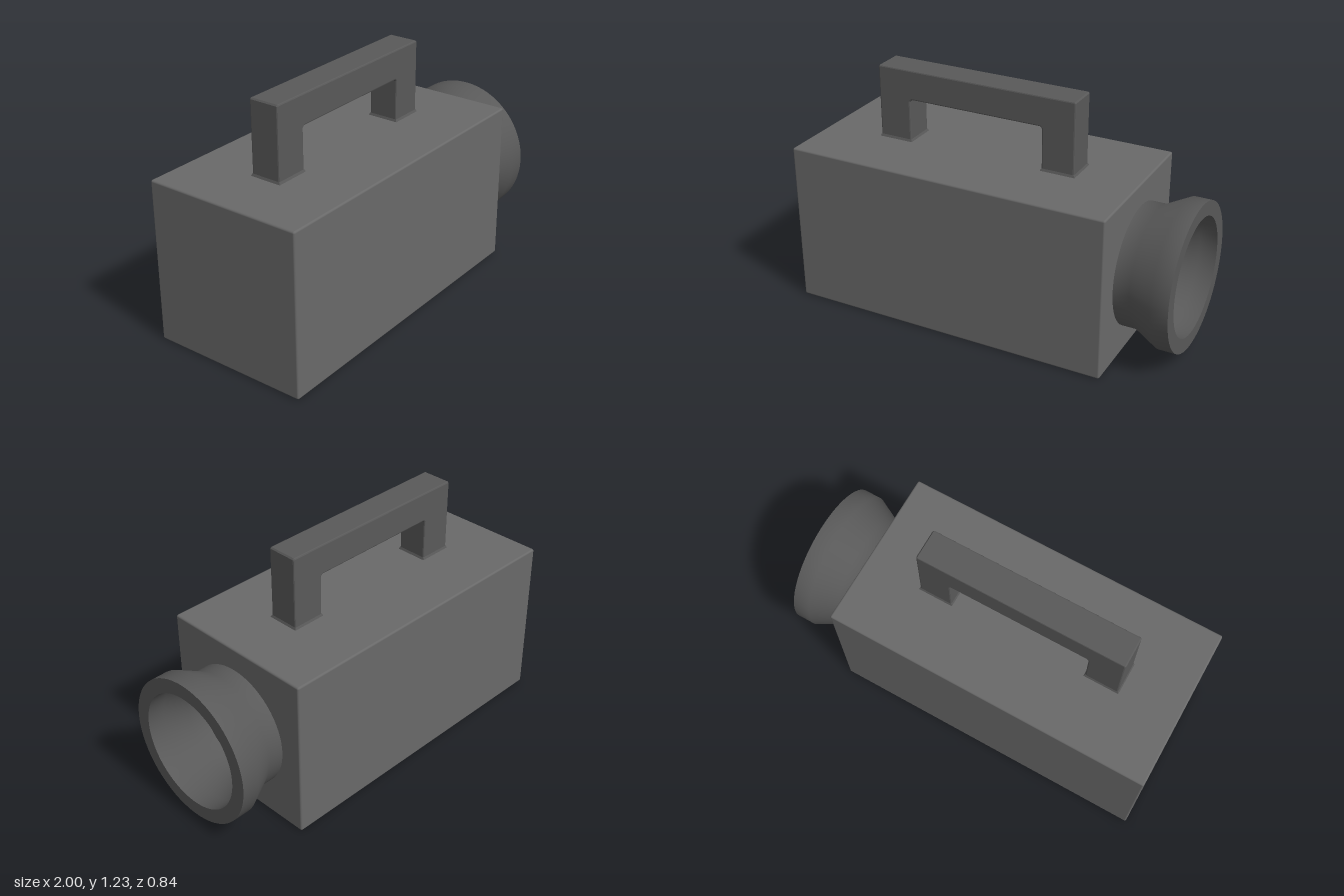
import * as THREE from 'three';
import { RoundedBoxGeometry } from 'three/addons/geometries/RoundedBoxGeometry.js';

const bodyMaterial = new THREE.MeshStandardMaterial({ color: 0x696969 });
const fittingMaterial = new THREE.MeshStandardMaterial({ color: 0x595959 });
const BODY_TOP = 0.844;
const CENTER_Y = BODY_TOP / 2;

function addMesh(parent, name, geometry, material, x = 0, y = 0, z = 0) {
  const mesh = new THREE.Mesh(geometry, material);
  mesh.name = name;
  mesh.position.set(x, y, z);
  parent.add(mesh);
  return mesh;
}

// Surface of revolution whose axis runs along +x; points are [x, radius]
function revolve(points) {
  const profile = points.map(([x, r]) => new THREE.Vector2(r, x));
  return new THREE.LatheGeometry(profile, 64).rotateZ(-Math.PI / 2);
}

function handleGeometry() {
  const base = BODY_TOP - 0.01;
  const outline = [
    [-0.69, base], [-0.515, base], [-0.515, 1.06], [-0.505, 1.07],
    [0.205, 1.07], [0.215, 1.06], [0.215, base], [0.388, base],
    [0.388, 1.219], [0.382, 1.226], [-0.684, 1.226], [-0.69, 1.219],
  ];
  const shape = new THREE.Shape(outline.map(([x, y]) => new THREE.Vector2(x, y)));
  const bevel = 0.007;
  return new THREE.ExtrudeGeometry(shape, {
    depth: 0.16 - 2 * bevel,
    bevelThickness: bevel,
    bevelSize: bevel,
    bevelOffset: -bevel,
    bevelSegments: 2,
  }).translate(0, 0, -0.08 + bevel);
}

// Four-sided flare that blends a handle post into the body
function footGeometry(width, depth) {
  const height = 0.014;
  const flare = 0.006;
  const geometry = new THREE.BoxGeometry(width, height, depth);
  const p = geometry.attributes.position;
  for (let i = 0; i < p.count; i++) {
    if (p.getY(i) < 0) {
      p.setX(i, p.getX(i) + Math.sign(p.getX(i)) * flare);
      p.setZ(i, p.getZ(i) + Math.sign(p.getZ(i)) * flare);
    }
  }
  geometry.computeVertexNormals();
  return geometry;
}

export function createModel() {
  const model = new THREE.Group();
  model.name = 'boxCamera';

  // Housing with finely rounded edges
  const housing = new RoundedBoxGeometry(1.697, BODY_TOP, 0.84, 2, 0.01);
  addMesh(model, 'body', housing, bodyMaterial, -0.1515, CENTER_Y, 0);

  // Carrying handle
  const handle = new THREE.Group();
  handle.name = 'handle';
  model.add(handle);
  addMesh(handle, 'handleGrip', handleGeometry(), fittingMaterial);
  for (const [start, end] of [[-0.69, -0.515], [0.215, 0.388]]) {
    const foot = footGeometry(end - start, 0.16);
    addMesh(handle, 'handleFoot', foot, fittingMaterial, (start + end) / 2, BODY_TOP + 0.005, 0);
  }

  // Flared lens hood: separate strips keep the rims crisp
  const lens = new THREE.Group();
  lens.name = 'lens';
  lens.position.y = CENTER_Y + 0.001;
  model.add(lens);
  const strips = {
    lensNeck: [[0.685, 0.25], [0.71, 0.25]],
    hoodBack: [[0.703, 0.25], [0.703, 0.31]],
    hoodOuter: [[0.703, 0.31], [0.785, 0.31], [0.91, 0.375], [1, 0.375]],
    hoodRim: [[1, 0.375], [1, 0.3]],
    hoodInner: [[1, 0.3], [0.91, 0.3], [0.8, 0.25], [0.703, 0.25]],
    lensGlass: [[0.705, 0.25], [0.705, 0]],
  };
  for (const [name, points] of Object.entries(strips)) {
    addMesh(lens, name, revolve(points), fittingMaterial);
  }

  return model;
}
